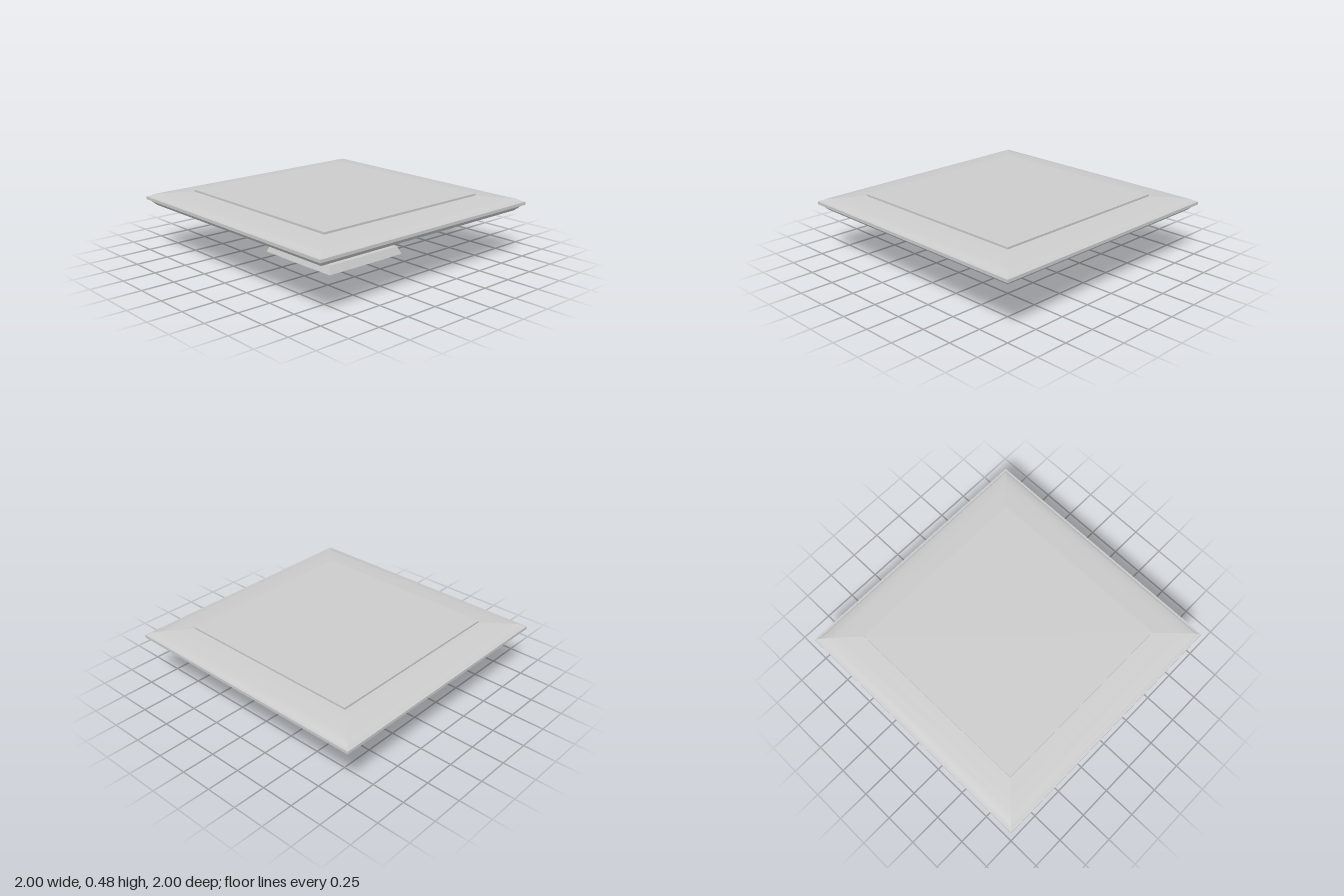
import * as THREE from 'three';

const material = new THREE.MeshStandardMaterial({ color: 0xcccccc });

// Square loft: each run is a list of [halfWidth, y]; smooth within a run, sharp between runs and at corners
function squareLoft(name, runs) {
  const pos = [], index = [];
  for (const run of runs) {
    for (let side = 0; side < 4; side++) {
      const c = [1, 0, -1, 0][side], s = [0, 1, 0, -1][side];
      const base = pos.length / 3;
      run.forEach(([h, y], i) => {
        for (const x of [-h, h]) pos.push(x * c + h * s, y, -x * s + h * c);
        if (i === 0) return;
        const a = base + 2 * (i - 1);
        index.push(a, a + 1, a + 3, a, a + 3, a + 2);
      });
    }
  }
  const geo = new THREE.BufferGeometry();
  geo.setAttribute('position', new THREE.Float32BufferAttribute(pos, 3));
  geo.setIndex(index);
  geo.computeVertexNormals();
  const mesh = new THREE.Mesh(geo, material);
  mesh.name = name;
  return mesh;
}

// Split a profile into single-segment runs so every edge is sharp
const sharp = (points) => points.slice(1).map((p, i) => [points[i], p]);

export function createModel() {
  const model = new THREE.Group();
  model.name = 'squareTable';

  // Table top: bevelled underside, thin lip, softly domed border
  model.add(squareLoft('tableTop', [
    ...sharp([[0, 0.355], [0.945, 0.355], [0.985, 0.395], [1, 0.398], [1, 0.42], [0.983, 0.422]]),
    [[0.983, 0.422], [0.963, 0.438], [0.9, 0.447], [0.82, 0.456], [0.74, 0.463]],
  ]));

  // Raised centre panel
  model.add(squareLoft('centrePanel', sharp([[0.74, 0.463], [0.74, 0.478], [0, 0.478]])));

  // Sloped base plinth with a stepped block on it
  model.add(squareLoft('basePlinth', sharp([[0, 0], [0.362, 0], [0.338, 0.06], [0, 0.06]])));
  model.add(squareLoft('baseStep', sharp([[0.28, 0.06], [0.28, 0.092], [0, 0.092]])));

  // Slim tapered panel in the middle of each plinth side
  const outline = new THREE.Shape([[-0.18, 0], [0.18, 0], [0.17, 0.06], [-0.17, 0.06]]
    .map(([x, y]) => new THREE.Vector2(x, y)));
  const panelGeo = new THREE.ExtrudeGeometry(outline, { depth: 0.01, bevelEnabled: false });
  const p = panelGeo.attributes.position;
  for (let i = 0; i < p.count; i++) p.setZ(i, p.getZ(i) + 0.355 - 0.4 * p.getY(i));
  panelGeo.computeVertexNormals();
  for (let i = 0; i < 4; i++) {
    const panel = new THREE.Mesh(panelGeo, material);
    panel.name = 'plinthPanel';
    panel.rotation.y = (i * Math.PI) / 2;
    model.add(panel);
  }
  return model;
}
